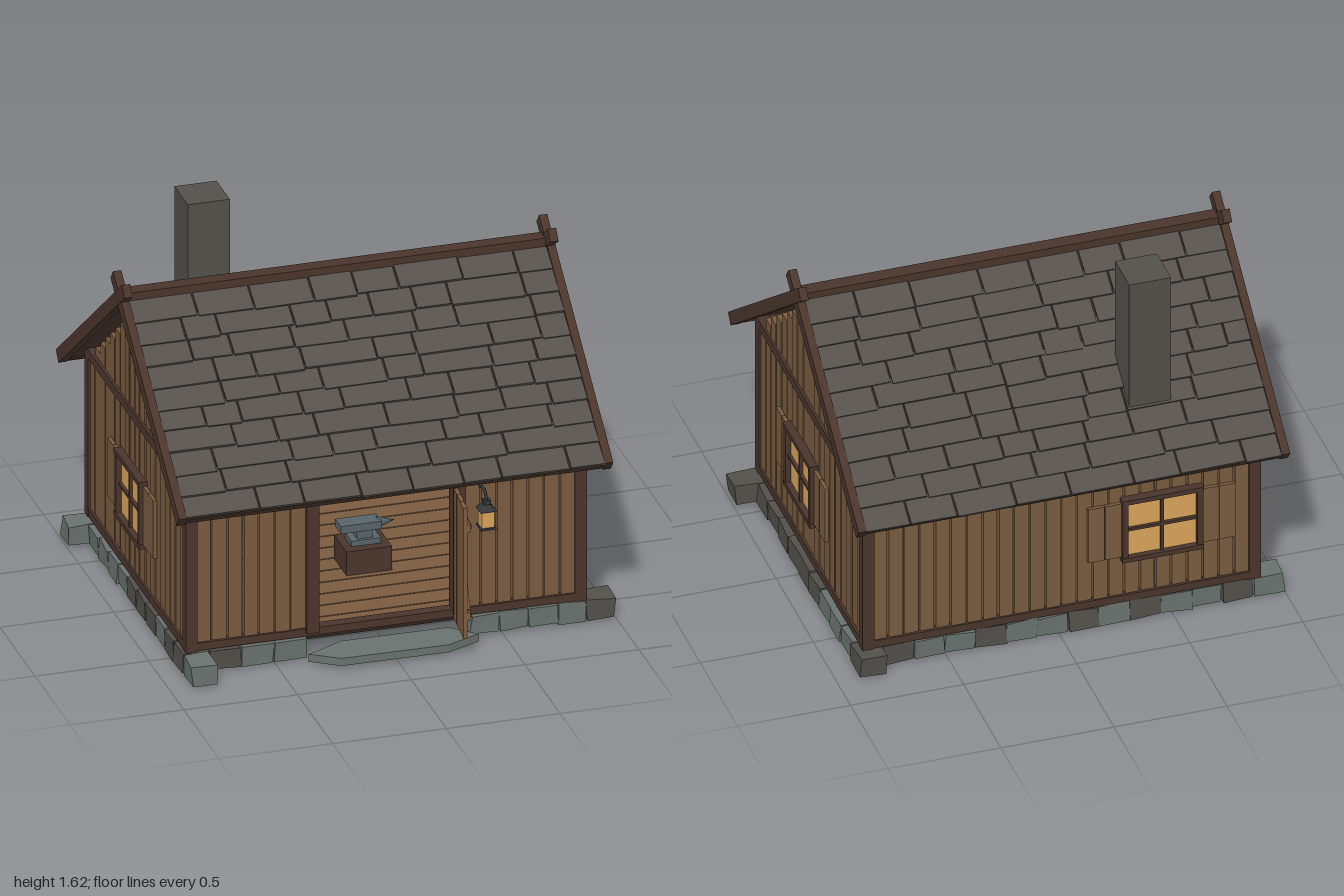
import * as THREE from 'three';

const mat = (name, color, side = THREE.FrontSide) =>
  Object.assign(new THREE.MeshStandardMaterial({ color, side }), { name });
const M = {
  plank: mat('plank wood', 0x7a5b3f),
  beam: mat('dark beam', 0x4a352c),
  shingle: mat('shingle', 0x56514c),
  stone: mat('grey stone', 0x69726f),
  darkStone: mat('dark stone', 0x53504b),
  glow: mat('lit glass', 0xd9a45c),
  iron: mat('iron', 0x34363a),
  steel: mat('steel', 0x59656a),
  base: mat('dark earth', 0x30231d),
  ember: mat('ember', 0xe88a30),
};

let seed = 7;
const rnd = () => (seed = (seed * 16807) % 2147483647) / 2147483647;
const jit = (a) => (rnd() * 2 - 1) * a;

function add(parent, name, geo, m, x = 0, y = 0, z = 0) {
  const mesh = new THREE.Mesh(geo, m);
  mesh.name = name;
  mesh.position.set(x, y, z);
  parent.add(mesh);
  return mesh;
}
const box = (p, name, m, w, h, d, x, y, z) => add(p, name, new THREE.BoxGeometry(w, h, d), m, x, y, z);
function group(parent, name, x = 0, y = 0, z = 0, ry = 0) {
  const g = new THREE.Group();
  g.name = name;
  g.position.set(x, y, z);
  g.rotation.y = ry;
  parent.add(g);
  return g;
}

// Box with its eight corners nudged, for rough stones
function roughBox(w, h, d, a) {
  const geo = new THREE.BoxGeometry(w, h, d);
  const p = geo.attributes.position;
  const n = Array.from({ length: 24 }, () => jit(a));
  for (let i = 0; i < p.count; i++) {
    const k = 3 * ((p.getX(i) > 0) * 4 + (p.getY(i) > 0) * 2 + (p.getZ(i) > 0));
    p.setXYZ(i, p.getX(i) + n[k], p.getY(i) + n[k + 1], p.getZ(i) + n[k + 2]);
  }
  geo.computeVertexNormals();
  return geo;
}

// Row of upright boards along local x, with an optional opening [from, to, height]
function boardWall(parent, name, from, to, top, place, opening) {
  const g = group(parent, name, ...place);
  const n = Math.round((to - from) / 0.071), step = (to - from) / n;
  for (let i = 0; i < n; i++) {
    const x = from + (i + 0.5) * step;
    const y0 = opening && x > opening[0] && x < opening[1] ? opening[2] : 0.11;
    const h = top(x) - y0;
    box(g, 'wallBoard', M.plank, step - 0.008 + jit(0.003), h, 0.03, x, y0 + h / 2, jit(0.003));
  }
}

function windowUnit(parent, name, x, y, z, ry) {
  const g = group(parent, name, x, y, z, ry);
  box(g, 'pane', M.glow, 0.31, 0.27, 0.008, 0, 0, 0.022);
  for (const s of [-1, 1]) {
    box(g, 'frameSide', M.beam, 0.025, 0.31, 0.04, s * 0.165, 0, 0.03);
    box(g, 'frameRail', M.beam, 0.36, 0.022, 0.045, 0, s * 0.145, 0.03);
    for (const k of [0.215, 0.29]) box(g, 'shutterBoard', M.plank, 0.072, 0.27, 0.016, s * k, 0, 0.026);
  }
  box(g, 'mullion', M.beam, 0.013, 0.28, 0.02, 0, 0, 0.03);
  box(g, 'crossbar', M.beam, 0.32, 0.013, 0.02, 0, 0, 0.03);
}

// One roof slope; local z runs from the ridge down to the eave
function roofSlope(parent, name, ry) {
  const turn = group(parent, name, -0.015, 1.425, -0.04, ry);
  const g = group(turn, 'slope');
  g.rotation.x = 0.657;
  box(g, 'roofDeck', M.beam, 1.86, 0.02, 1.05, 0, 0, 0.53);
  box(g, 'eaveBoard', M.beam, 1.88, 0.03, 0.02, 0, 0, 1.055);
  for (let r = 0; r < 10; r++) {
    let x = -0.925;
    while (x < 0.92) {
      let w = 0.15 + rnd() * 0.19;
      if (x + w > 0.82) w = 0.925 - x;
      const s = box(g, 'shingle', M.shingle, w - 0.008, 0.014, 0.125, x + w / 2, 0.026 + jit(0.003), 0.072 + r * 0.104 + jit(0.006));
      s.rotation.set(-0.1, jit(0.012), 0);
      x += w;
    }
  }
  for (const s of [-1, 1]) box(g, 'bargeBoard', M.beam, 0.036, 0.058, 1.19, s * 0.936 + (ry ? 0.004 : 0), 0.012, 0.475);
}

function stoneRow(parent, x0, z0, x1, z1) {
  const len = Math.hypot(x1 - x0, z1 - z0), n = Math.round(len / 0.135), alongX = x0 !== x1;
  for (let i = 0; i < n; i++) {
    const t = (i + 0.5) / n, l = len / n - 0.004, h = 0.085 + rnd() * 0.01;
    add(parent, 'foundationStone', roughBox(alongX ? l : 0.115, h, alongX ? 0.115 : l, 0.006),
      rnd() < 0.5 ? M.stone : M.darkStone, x0 + (x1 - x0) * t, 0.053, z0 + (z1 - z0) * t);
  }
}

export function createModel() {
  seed = 7;
  const root = new THREE.Group();
  root.name = 'smithyHut';
  const L = -0.865, R = 0.845, F = 0.65, B = -0.745, CX = -0.01, CZ = -0.0475;

  // Foundation, floor and door slab
  const found = group(root, 'foundation');
  stoneRow(found, -0.79, 0.62, -0.36, 0.62);
  stoneRow(found, 0.36, 0.62, 0.995, 0.62);
  stoneRow(found, 0.84, 0.56, 0.84, -0.835);
  stoneRow(found, 0.78, -0.71, -0.995, -0.71);
  stoneRow(found, -0.85, -0.65, -0.85, 0.82);
  box(found, 'underFloor', M.base, 1.6, 0.05, 1.28, CX, 0.075, CZ);
  for (let i = 0; i < 13; i++) box(found, 'floorBoard', M.plank, 1.7, 0.02, 0.1, CX, 0.11, -0.69 + i * 0.107);
  const slab = new THREE.Shape([[-0.37, 0], [-0.25, -0.08], [0.22, -0.085], [0.37, -0.02], [0.27, 0.08], [-0.2, 0.085]]
    .map(([x, y]) => new THREE.Vector2(x, y)));
  const slabGeo = new THREE.ExtrudeGeometry(slab, { depth: 0.035, bevelEnabled: false }).rotateX(-Math.PI / 2);
  add(found, 'doorSlab', slabGeo, M.stone, 0, 0.015, 0.735);

  // Timber frame
  const frame = group(root, 'timberFrame');
  for (const x of [L, R]) {
    for (const z of [F, B]) box(frame, 'cornerPost', M.beam, 0.052, 0.76, 0.052, x, 0.48, z);
    box(frame, 'sideSill', M.beam, 0.05, 0.035, 1.4, x, 0.122, CZ);
    box(frame, 'gableBeam', M.beam, 0.054, 0.042, 1.45, x, 0.86, CZ);
  }
  for (const z of [F, B]) {
    box(frame, 'sill', M.beam, 1.71, 0.035, 0.05, CX, 0.122, z);
    box(frame, 'topPlate', M.beam, 1.71, 0.035, 0.05, CX, 0.85, z);
  }

  // Board walls, stepped under the roof at the gables
  const eave = () => 0.85;
  boardWall(root, 'frontWall', L + 0.02, R - 0.02, eave, [0, 0, F], [-0.33, 0.31, 0.73]);
  boardWall(root, 'backWall', L + 0.02, R - 0.02, eave, [0, 0, B]);
  boardWall(root, 'rightWall', -F + 0.015, -B - 0.015, (u) => 1.365 - 0.765 * Math.abs(u - 0.04), [R, 0, 0, Math.PI / 2]);
  boardWall(root, 'leftWall', B + 0.015, F - 0.015, (u) => 1.365 - 0.765 * Math.abs(u + 0.04), [L, 0, 0, -Math.PI / 2]);

  windowUnit(root, 'rightWindow', R, 0.475, 0.04, Math.PI / 2);
  windowUnit(root, 'leftWindow', L, 0.475, -0.09, -Math.PI / 2);
  windowUnit(root, 'backWindow', -0.45, 0.475, B, Math.PI);

  // Roof
  roofSlope(root, 'frontRoof', 0);
  roofSlope(root, 'backRoof', Math.PI);
  box(root, 'ridgeBeam', M.beam, 1.89, 0.045, 0.065, -0.015, 1.447, -0.04);

  // Doorway
  const doorway = group(root, 'doorway');
  for (const x of [-0.335, 0.31]) box(doorway, 'jamb', M.beam, 0.055, 0.62, 0.065, x, 0.43, 0.655);
  box(doorway, 'lintel', M.beam, 0.72, 0.042, 0.075, -0.02, 0.742, 0.66);
  box(doorway, 'lintelBoard', M.beam, 0.37, 0.025, 0.03, -0.015, 0.775, 0.675);

  // Open door; local x runs outward from the hinge
  const door = group(root, 'door', 0.3, 0, 0.61, -Math.PI / 2 - 0.1);
  for (let i = 0; i < 4; i++) box(door, 'doorBoard', M.plank, 0.066, 0.605, 0.018, 0.035 + i * 0.07, 0.405, 0);
  for (const y of [0.2, 0.61]) {
    box(door, 'doorRail', M.plank, 0.27, 0.035, 0.016, 0.14, y, -0.016);
    box(door, 'hingeStrap', M.iron, 0.25, 0.02, 0.03, 0.135, y, -0.014);
  }
  box(door, 'doorBrace', M.plank, 0.022, 0.44, 0.016, 0.14, 0.41, -0.016).rotation.z = 0.56;

  // Lantern on a curved bracket
  const lamp = group(root, 'lantern', 0.405, 0, 0.755);
  box(lamp, 'lampGlass', M.glow, 0.056, 0.075, 0.056, 0, 0.588, 0);
  box(lamp, 'lampBase', M.iron, 0.068, 0.01, 0.068, 0, 0.546, 0);
  const cap = new THREE.CylinderGeometry(0.016, 0.052, 0.03, 4).rotateY(Math.PI / 4);
  add(lamp, 'lampCap', cap, M.iron, 0, 0.641, 0);
  box(lamp, 'lampTop', M.iron, 0.03, 0.02, 0.03, 0, 0.662, 0);
  const hook = new THREE.QuadraticBezierCurve3(new THREE.Vector3(0, 0.69, -0.09), new THREE.Vector3(0, 0.73, -0.01), new THREE.Vector3(0, 0.66, 0));
  add(lamp, 'lampBracket', new THREE.TubeGeometry(hook, 8, 0.007, 6), M.iron);

  // Forge and chimney
  const forge = group(root, 'forge', -0.44, 0, -0.54);
  box(forge, 'hearth', M.darkStone, 0.38, 0.2, 0.34, 0, 0.22, 0);
  box(forge, 'coals', M.ember, 0.26, 0.03, 0.22, 0, 0.33, 0.02);
  const hood = new THREE.CylinderGeometry(0.125, 0.24, 0.2, 4, 1, true).rotateY(Math.PI / 4);
  add(forge, 'hood', hood, M.darkStone, 0, 0.72, -0.01);
  box(forge, 'chimney', M.darkStone, 0.185, 0.8, 0.19, 0, 1.22, -0.015);

  // Anvil on a stump
  const anvil = group(root, 'anvil', 0.065, 0, 0.1);
  box(anvil, 'stump', M.beam, 0.2, 0.11, 0.18, 0, 0.175, 0);
  box(anvil, 'anvilFoot', M.steel, 0.13, 0.025, 0.09, 0, 0.242, 0);
  box(anvil, 'anvilWaist', M.steel, 0.07, 0.04, 0.06, 0, 0.274, 0);
  box(anvil, 'anvilFace', M.steel, 0.18, 0.035, 0.08, -0.02, 0.31, 0);
  const horn = new THREE.ConeGeometry(0.026, 0.08, 8).rotateZ(-Math.PI / 2);
  add(anvil, 'anvilHorn', horn, M.steel, 0.1, 0.308, 0);

  // Bellows
  const bellows = group(root, 'bellows', -0.13, 0, -0.3);
  for (let i = 0; i < 3; i++) box(bellows, 'bellowsBoard', i === 1 ? M.beam : M.plank, 0.15, 0.018, 0.14, 0, 0.285 + i * 0.018, 0);
  box(bellows, 'bellowsPost', M.beam, 0.05, 0.16, 0.06, 0.02, 0.2, 0);
  box(bellows, 'nozzle', M.steel, 0.1, 0.015, 0.02, -0.12, 0.3, 0);

  // Tools leaning inside the left jamb
  const blade = new THREE.Shape([new THREE.Vector2(0, 0.1), new THREE.Vector2(0.055, 0.01), new THREE.Vector2(0, 0)]);
  const bladeGeo = new THREE.ExtrudeGeometry(blade, { depth: 0.012, bevelEnabled: false });
  const tools = group(root, 'tools');
  for (const [y, z, s] of [[0.57, 0.5, 1], [0.15, 0.42, 1.3]]) {
    add(tools, 'toolBlade', bladeGeo, M.steel, -0.31, y, z).scale.set(s, s, 1);
    box(tools, 'toolHandle', M.plank, 0.018, 0.55, 0.018, -0.32, 0.395, z).rotation.x = 0.15;
  }
  return root;
}
